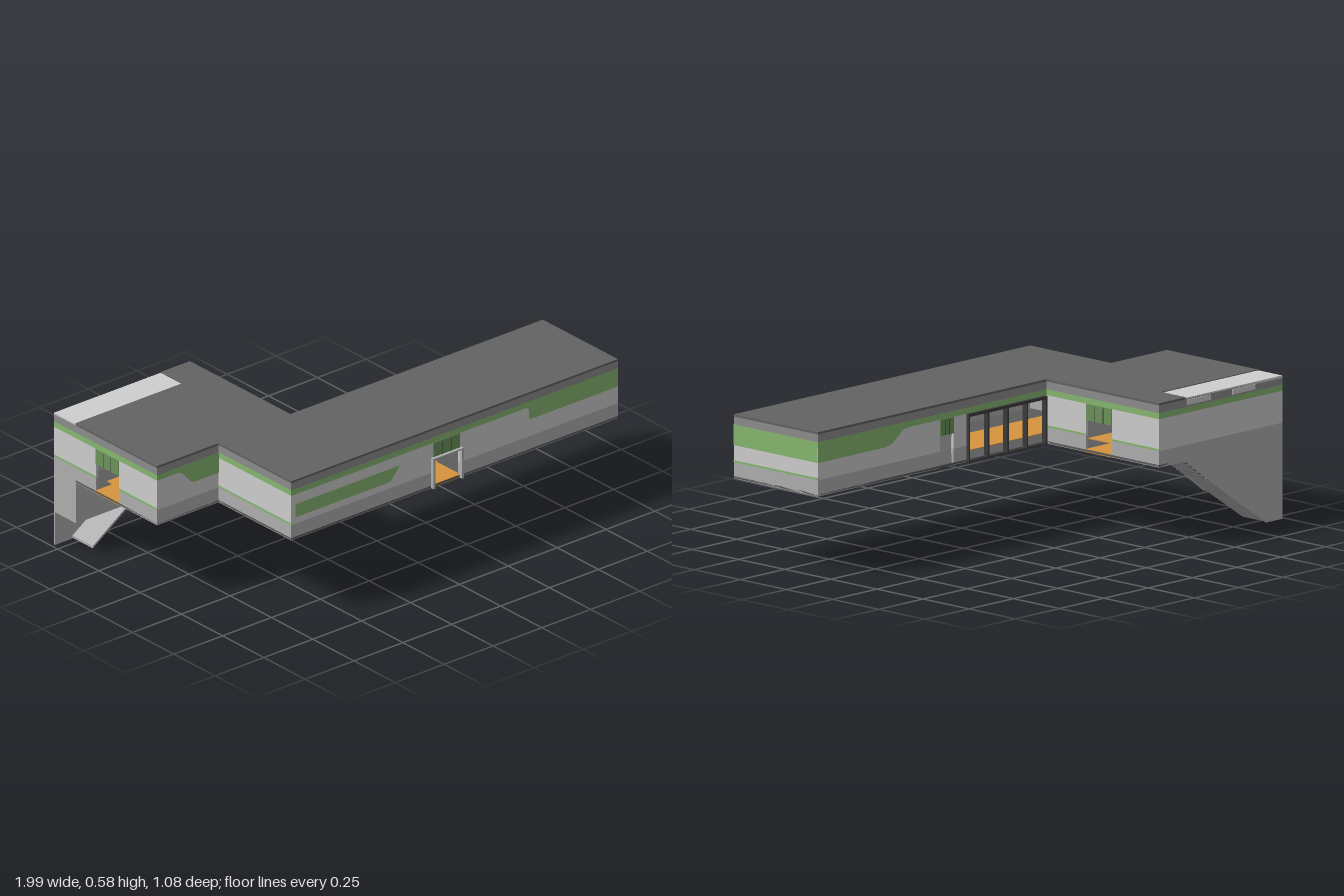
import * as THREE from 'three';

const mat = (name, color, side = THREE.FrontSide) => {
  const m = new THREE.MeshStandardMaterial({ color, side });
  m.name = name;
  return m;
};

export function createModel() {
  const model = new THREE.Group();
  model.name = 'raisedBuilding';
  const light = mat('lightWall', 0xcfcfcf);
  const base = mat('baseGrey', 0xb0b0b0);
  const band = mat('fasciaGrey', 0x8e8e8e);
  const roofMat = mat('roofGrey', 0x636363);
  const green = mat('green', 0x88b871, THREE.DoubleSide);
  const darkGreen = mat('darkGreen', 0x6d945b);
  const orange = mat('orangeFloor', 0xd6953f);
  const frameMat = mat('frameDark', 0x3c3c3c);
  const floorMat = mat('floorGrey', 0x5c5c5c);

  const add = (parent, name, geo, m) => {
    const mesh = new THREE.Mesh(geo, m);
    mesh.name = name;
    parent.add(mesh);
    return mesh;
  };
  // Box given by its minimum and maximum corners
  const box = (parent, name, m, x0, x1, y0, y1, z0, z1) => {
    const mesh = add(parent, name, new THREE.BoxGeometry(x1 - x0, y1 - y0, z1 - z0), m);
    mesh.position.set((x0 + x1) / 2, (y0 + y1) / 2, (z0 + z1) / 2);
    return mesh;
  };
  const shapeOf = pts => new THREE.Shape(pts.map(p => new THREE.Vector2(p[0], p[1])));
  // Flat slab from an x,z outline
  const slab = (name, m, pts, y0, y1) => {
    const geo = new THREE.ExtrudeGeometry(shapeOf(pts.map(([x, z]) => [x, -z])), { depth: y1 - y0, bevelEnabled: false });
    geo.rotateX(-Math.PI / 2);
    add(model, name, geo, m).position.y = y0;
  };

  const W = -0.985, F = 0.32, T = 0.01;

  // Roof and floor leave out the stair corner
  const plan = [[W, -0.41], [-0.44, -0.41], [-0.44, -0.54], [-0.29, -0.54], [-0.29, 0.07],
    [1, 0.07], [1, 0.525], [-0.67, 0.525], [-0.67, 0.085], [W, 0.085]];
  slab('roof', roofMat, plan, 0.569, 0.578);
  slab('floor', floorMat, plan, 0.322, 0.33);
  box(model, 'stairRoof', light, W, -0.44, 0.565, 0.575, -0.54, -0.41);

  // Orange walkways: x0, x1, z0, z1
  [[-0.61, 0.2, 0.17, 0.38], [0.05, 0.195, 0.38, 0.525], [-0.9, -0.43, -0.32, -0.02],
    [W, -0.9, -0.285, -0.145], [-0.43, -0.29, -0.285, -0.145]].forEach(([x0, x1, z0, z1]) =>
    box(model, 'walkway', orange, x0, x1, 0.319, 0.333, z0, z1));

  // Wall: local x runs left to right seen from outside, local z points outwards
  const wall = (name, x, z, turn, length, openings = [], shapes = []) => {
    const g = new THREE.Group();
    g.name = name;
    g.position.set(x, 0, z);
    g.rotation.y = turn * Math.PI / 2;
    model.add(g);
    let u = 0;
    [...openings, { from: length, to: length }].forEach(o => {
      if (o.from - u > 0.001) {
        box(g, 'basePanel', base, u, o.from, F, 0.386, -T, 0);
        box(g, 'wallPanel', light, u, o.from, 0.386, 0.514, -T, 0);
        if (turn % 2) box(g, 'trimLine', green, u, o.from, 0.386, 0.394, -0.002, 0.001);
      }
      if (o.transom) {
        box(g, 'transom', darkGreen, o.from, o.to, 0.448, 0.514, -T, 0.002);
        [1, 2].forEach(i => {
          const s = o.from + (o.to - o.from) * i / 3;
          box(g, 'transomSeam', frameMat, s - 0.001, s + 0.001, 0.448, 0.51, 0, 0.003);
        });
      }
      u = o.to;
    });
    box(g, 'greenStrip', green, 0, length, 0.514, 0.538, -T, 0);
    box(g, 'fascia', band, 0, length, 0.538, 0.569, -T, 0);
    shapes.forEach(p => {
      add(g, 'greenPanel', new THREE.ShapeGeometry(shapeOf(p)), green).position.z = 0.002;
    });
    return g;
  };
  const door = (from, to) => ({ from, to, transom: true });

  const front = wall('frontWall', -0.67, 0.525, 0, 1.67, [door(0.725, 0.86)], [
    [[0.02, 0.415], [0.49, 0.415], [0.51, 0.42], [0.555, 0.472], [0.02, 0.472]],
    [[1.225, 0.46], [1.67, 0.46], [1.67, 0.538], [1.18, 0.538], [1.2, 0.515], [1.213, 0.505], [1.213, 0.468]],
  ]);
  wall('frontSideWall', W, 0.085, 0, 0.315, [], [
    [[0.19, 0.45], [0.315, 0.45], [0.315, 0.538], [0.08, 0.538], [0.11, 0.515], [0.135, 0.5], [0.17, 0.457]],
  ]);
  wall('leftEndWall', 1, 0.525, 1, 0.455, [], [[[0, 0.455], [0.455, 0.455], [0.455, 0.538], [0, 0.538]]]);
  wall('leftInnerWall', -0.29, 0.07, 1, 0.61, [door(0.215, 0.355)]);
  const back = wall('backWall', 1, 0.07, 2, 1.29, [door(0.69, 0.765), { from: 0.845, to: 1.28 }], [
    [[0, 0.455], [0.38, 0.455], [0.42, 0.465], [0.48, 0.51], [0.51, 0.515], [0.51, 0.538], [0, 0.538]],
  ]);
  const rear = wall('rearWall', -0.29, -0.54, 2, 0.695);
  wall('rightWall', W, -0.54, -1, 0.625, [door(0.255, 0.395)]);
  wall('rightInnerWall', -0.67, 0.085, -1, 0.44);

  // Front portal, back door leaf and small high windows
  box(front, 'portalSide', base, 0.715, 0.725, F, 0.45, -0.01, 0.015);
  box(front, 'portalSide', base, 0.86, 0.87, F, 0.45, -0.01, 0.015);
  box(front, 'portalTop', base, 0.715, 0.87, 0.446, 0.452, -0.01, 0.015);
  box(back, 'backDoor', base, 0.69, 0.765, F, 0.448, -0.02, -0.012);
  [[0.16, 0.29], [0.41, 0.54]].forEach(([a, b]) =>
    box(rear, 'highWindow', light, a, b, 0.545, 0.566, 0, 0.003));

  // Open glazing frame on the back
  const glazing = new THREE.Group();
  glazing.name = 'glazingFrame';
  back.add(glazing);
  for (let i = 0; i < 5; i++) {
    const u = 0.838 + i * 0.109;
    box(glazing, 'mullion', frameMat, u, u + 0.008, F, 0.51, -0.01, 0.013);
  }
  box(glazing, 'topRail', frameMat, 0.838, 1.282, 0.502, 0.514, -0.01, 0.013);
  box(glazing, 'bottomRail', frameMat, 0.838, 1.282, F, 0.326, -0.01, 0.01);

  // Stair enclosure below the rear corner
  const stair = new THREE.Group();
  stair.name = 'stairEnclosure';
  model.add(stair);
  const plate = (name, pts, z) =>
    add(stair, name, new THREE.ExtrudeGeometry(shapeOf(pts), { depth: 0.006, bevelEnabled: false }), base).position.z = z;
  plate('outerSkirt', [[W, 0], [-0.895, 0], [-0.68, 0.145], [-0.44, F], [W, F]], -0.54);
  plate('innerSkirt', [[W, 0.143], [-0.68, 0.143], [-0.44, F], [W, F]], -0.411);
  box(stair, 'sideSkirt', base, W, W + 0.006, 0.143, F, -0.54, -0.405);
  const soffit = new THREE.ExtrudeGeometry(
    shapeOf([[-0.895, 0.003], [-0.68, 0.148], [-0.57, 0.228], [-0.57, 0.238], [-0.68, 0.158], [-0.895, 0.013]]),
    { depth: 0.124, bevelEnabled: false });
  add(stair, 'soffit', soffit, base).position.z = -0.535;
  for (let i = 0; i < 5; i++) {
    const x = -0.575 + i * 0.026, y = 0.235 + i * 0.018;
    box(stair, 'step', floorMat, x, x + 0.03, y, y + 0.006, -0.534, -0.411);
  }
  return model;
}
